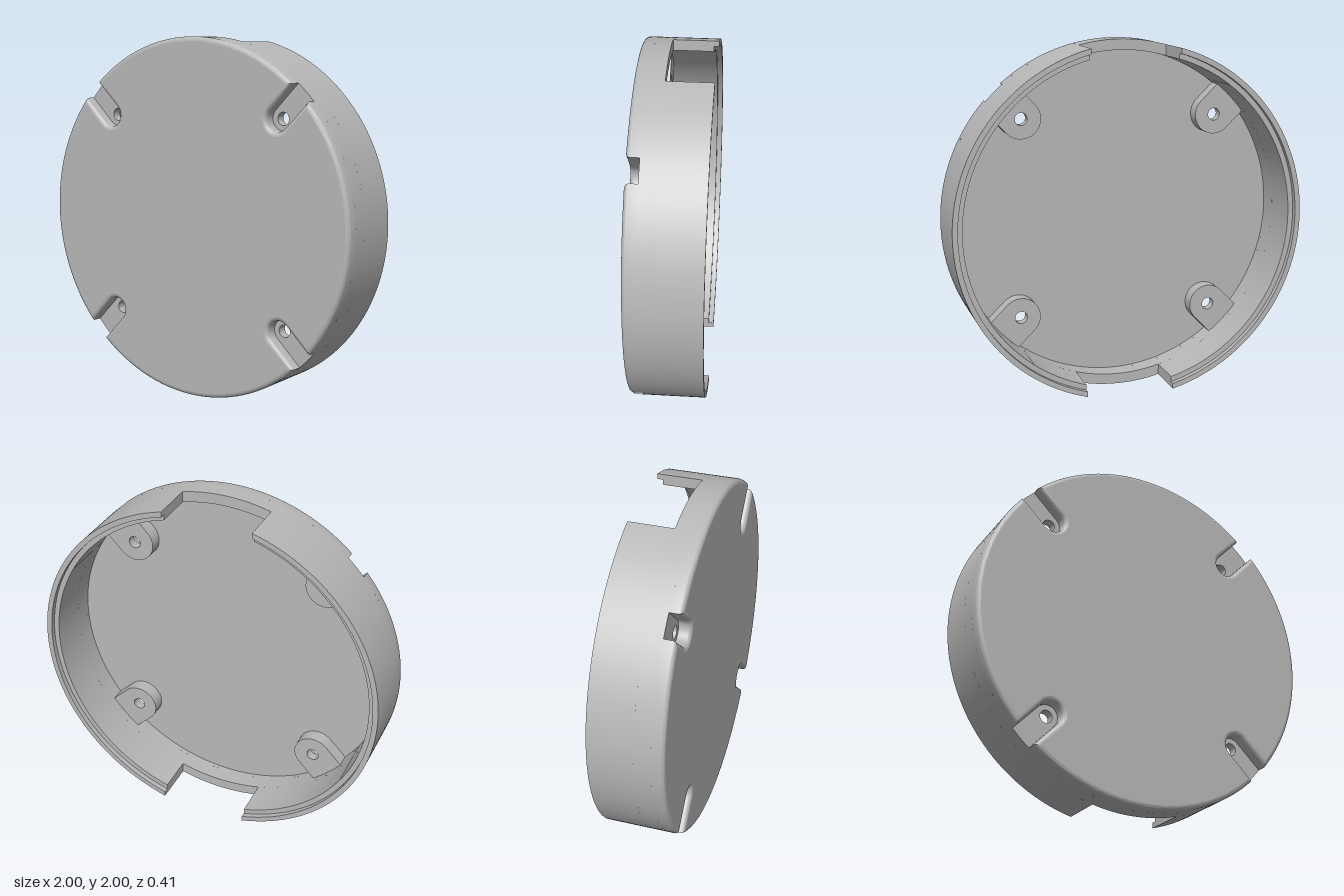
import * as THREE from 'three';
import { toCreasedNormals } from 'three/addons/utils/BufferGeometryUtils.js';

const FRONT = 0.205, BACK = -0.205, POCKET = 0.135, FLOOR = 0.16, BOSS = 0.08, NOTCH = 0.045;
const R = 1, INNER = 0.94, LIP = 0.97, HOLE_AT = 0.8, NOTCH_HALF = 0.2525;
const SLOT = 0.065, BOSS_R = 0.112, FILLET = 0.025;

// Disc outline (counter-clockwise) with four U-shaped slots on the diagonals
function slottedOutline(radius, w) {
  const pts = [], a = Math.asin(w / radius);
  for (let k = 0; k < 4; k++) {
    const mid = Math.PI / 4 + k * Math.PI / 2;
    const start = mid - Math.PI / 2 + a, end = mid - a;
    for (let i = 0; i <= 40; i++) {
      const t = start + (end - start) * i / 40;
      pts.push(new THREE.Vector2(radius * Math.cos(t), radius * Math.sin(t)));
    }
    for (let i = 0; i <= 16; i++) {
      const t = -Math.PI / 2 - Math.PI * i / 16;
      const p = new THREE.Vector2(HOLE_AT + w * Math.cos(t), w * Math.sin(t));
      pts.push(p.rotateAround(new THREE.Vector2(), mid));
    }
  }
  return pts;
}

// Move every outline point inward by d, with mitred corners
function inset(pts, d) {
  const n = pts.length;
  const normal = (a, b) => new THREE.Vector2(b.y - a.y, a.x - b.x).normalize();
  return pts.map((p, i) => {
    const n1 = normal(pts[(i + n - 1) % n], p), n2 = normal(p, pts[(i + 1) % n]);
    const m = n1.clone().add(n2).normalize();
    return p.clone().addScaledVector(m, -d / m.dot(n1));
  });
}

// Upright edge of the front plate, ending in a rounded fillet
function filletedEdge(outline) {
  const rings = [[POCKET, 0]];
  for (let i = 0; i <= 6; i++) {
    const t = i / 6 * Math.PI / 2;
    rings.push([FRONT - FILLET + FILLET * Math.sin(t), FILLET * (1 - Math.cos(t))]);
  }
  const pos = [], idx = [], n = outline.length;
  rings.forEach(([z, d], k) => {
    inset(outline, d).forEach(p => pos.push(p.x, p.y, z));
    if (k === 0) return;
    for (let i = 0; i < n; i++) {
      const j = (i + 1) % n, lo = (k - 1) * n, hi = k * n;
      idx.push(lo + i, lo + j, hi + j, lo + i, hi + j, hi + i);
    }
  });
  const g = new THREE.BufferGeometry();
  g.setAttribute('position', new THREE.Float32BufferAttribute(pos, 3));
  g.setIndex(idx);
  return toCreasedNormals(g, 0.6);
}

function extrude(shape, z0, z1, curveSegments = 96) {
  const g = new THREE.ExtrudeGeometry(shape, { depth: z1 - z0, bevelEnabled: false, curveSegments });
  return toCreasedNormals(g.translate(0, 0, z0), 0.6);
}

function circlePath(x, r) {
  return new THREE.Path().absarc(x, 0, r, 0, Math.PI * 2, true);
}

// Half of the wall, cut straight at both notches
function halfWall(inner) {
  const a = Math.acos(NOTCH_HALF / R), b = Math.acos(NOTCH_HALF / inner);
  const s = new THREE.Shape();
  s.absarc(0, 0, R, -a, a, false);
  s.absarc(0, 0, inner, b, -b, true);
  s.closePath();
  return s;
}

export function createModel() {
  const grey = new THREE.MeshStandardMaterial({ color: 0xb8b8b8, side: THREE.DoubleSide });
  grey.name = 'grey';
  const model = new THREE.Group();
  model.name = 'roundCover';
  const body = new THREE.Group();
  body.name = 'body';
  body.position.y = 1;
  body.rotation.z = THREE.MathUtils.degToRad(1);
  model.add(body);
  const add = (name, geometry, parent = body) => {
    const m = new THREE.Mesh(geometry, grey);
    m.name = name;
    parent.add(m);
    return m;
  };

  // Front plate: filleted edge, face and inner floor
  const outline = slottedOutline(R, SLOT);
  add('frontEdge', filletedEdge(outline));
  add('frontFace', new THREE.ShapeGeometry(new THREE.Shape(inset(outline, FILLET))).translate(0, 0, FRONT));
  const floor = new THREE.ShapeGeometry(new THREE.Shape(slottedOutline(INNER, 0.09)));
  add('innerFloor', floor.rotateY(Math.PI).translate(0, 0, FLOOR));

  // Complete wall ring behind the plate
  const ring = new THREE.Shape().absarc(0, 0, R, 0, Math.PI * 2, false);
  ring.holes.push(circlePath(0, INNER));
  add('wallRing', extrude(ring, NOTCH, POCKET));

  // Two wall halves with a thinner lip, leaving the top and bottom notches
  for (const turn of [0, Math.PI]) {
    add('wallHalf', extrude(halfWall(INNER), BACK + 0.03, NOTCH)).rotation.z = turn;
    add('wallLip', extrude(halfWall(LIP), BACK, BACK + 0.03)).rotation.z = turn;
  }

  // Screw boss, shared by the four corners
  const base = new THREE.Shape();
  base.moveTo(0.96, -BOSS_R);
  base.lineTo(0.96, BOSS_R);
  base.lineTo(HOLE_AT, BOSS_R);
  base.absarc(HOLE_AT, 0, BOSS_R, Math.PI / 2, Math.PI * 1.5, false);
  base.holes.push(circlePath(HOLE_AT, 0.035));
  const baseGeo = extrude(base, BOSS, POCKET, 24);

  // Horseshoe collar around each front pocket
  const collar = new THREE.Shape();
  collar.moveTo(0.96, 0.07);
  collar.lineTo(0.96, BOSS_R);
  collar.lineTo(HOLE_AT, BOSS_R);
  collar.absarc(HOLE_AT, 0, BOSS_R, Math.PI / 2, Math.PI * 1.5, false);
  collar.lineTo(0.96, -BOSS_R);
  collar.lineTo(0.96, -0.07);
  collar.lineTo(HOLE_AT, -0.07);
  collar.absarc(HOLE_AT, 0, 0.07, Math.PI * 1.5, Math.PI / 2, true);
  collar.closePath();
  const collarGeo = extrude(collar, POCKET, FLOOR + 0.01, 24);

  // Inner wall strip between the pockets, up to the floor
  const gap = Math.asin(0.09 / INNER);
  const strip = new THREE.CylinderGeometry(INNER, INNER, FLOOR - POCKET, 40, 1, true,
    Math.PI / 2 + gap, Math.PI / 2 - 2 * gap);
  strip.rotateX(Math.PI / 2).translate(0, 0, (FLOOR + POCKET) / 2);

  for (let k = 0; k < 4; k++) {
    const corner = new THREE.Group();
    corner.name = 'screwCorner';
    corner.rotation.z = Math.PI / 4 + k * Math.PI / 2;
    body.add(corner);
    add('screwBoss', baseGeo, corner);
    add('pocketCollar', collarGeo, corner);
    add('innerWallStrip', strip, corner);
  }
  return model;
}
